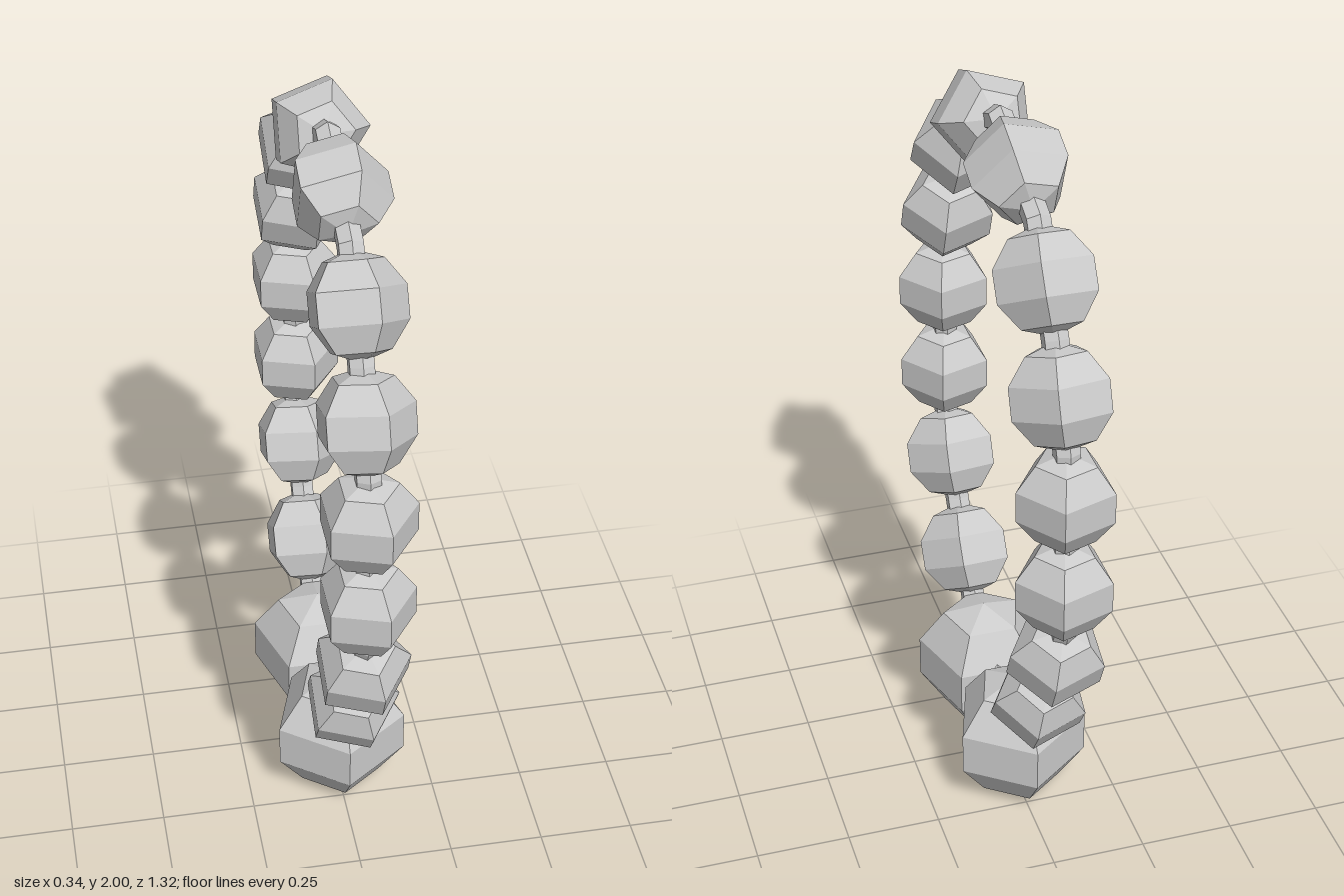
import * as THREE from 'three';

// Bends of one half of the strand as [z, y], from top to bottom
const HALF = [
  [0, 1.938], [0.297, 1.817], [0.443, 1.58], [0.542, 1.33], [0.542, 1.07],
  [0.542, 0.81], [0.43, 0.565], [0.27, 0.32], [0, 0.217],
];
const SMALL_R = 0.131, BIG_R = 0.19, CORD_R = 0.034;

const material = new THREE.MeshStandardMaterial({ color: 0xcccccc, flatShading: true });

function addMesh(parent, name, geometry) {
  const mesh = new THREE.Mesh(geometry, material);
  mesh.name = name;
  parent.add(mesh);
  return mesh;
}

// Five-sided faceted bead with one corner towards +x
function beadGeometry(radius) {
  return new THREE.SphereGeometry(radius, 5, 5).rotateY(Math.PI);
}

// Closed six-sided cord with mitred bends, lying in the yz plane
function cordGeometry(points) {
  const n = points.length, sides = 6;
  const positions = [], index = [];
  points.forEach((p, i) => {
    const before = p.clone().sub(points[(i + n - 1) % n]).normalize();
    const after = points[(i + 1) % n].clone().sub(p).normalize();
    const tangent = before.clone().add(after).normalize();
    const stretch = 1 / tangent.dot(after);
    for (let k = 0; k < sides; k++) {
      const a = (k / sides) * Math.PI * 2;
      const inPlane = Math.cos(a) * CORD_R * stretch;
      positions.push(Math.sin(a) * CORD_R, p.y - tangent.x * inPlane, p.x + tangent.y * inPlane);
      const i2 = (i + 1) % n, k2 = (k + 1) % sides;
      const A = i * sides + k, B = i * sides + k2, C = i2 * sides + k2, D = i2 * sides + k;
      index.push(A, B, C, A, C, D);
    }
  });
  const g = new THREE.BufferGeometry();
  g.setAttribute('position', new THREE.Float32BufferAttribute(positions, 3));
  // Wind the faces outwards: the loop runs down the +z side, up the -z side
  for (let i = 0; i < index.length; i += 3) [index[i + 1], index[i + 2]] = [index[i + 2], index[i + 1]];
  g.setIndex(index);
  const flat = g.toNonIndexed();
  flat.computeVertexNormals();
  // Check the first face against its outward direction and flip if needed
  const pos = flat.attributes.position, nor = flat.attributes.normal;
  const centre = points[0].clone().add(points[1]).multiplyScalar(0.5);
  const mid = new THREE.Vector3();
  for (let i = 0; i < 6; i++) mid.add(new THREE.Vector3().fromBufferAttribute(pos, i));
  mid.divideScalar(6).sub(new THREE.Vector3(0, centre.y, centre.x));
  if (mid.dot(new THREE.Vector3().fromBufferAttribute(nor, 0)) < 0) {
    for (let i = 0; i < index.length; i += 3) [index[i + 1], index[i + 2]] = [index[i + 2], index[i + 1]];
    g.setIndex(index);
  }
  g.computeVertexNormals();
  return g;
}

export function createModel() {
  const model = new THREE.Group();
  model.name = 'beadLoop';

  // Cord
  const mirrored = HALF.slice(1, -1).reverse().map(([z, y]) => [-z, y]);
  const loop = [...HALF, ...mirrored].map(([z, y]) => new THREE.Vector2(z, y));
  addMesh(model, 'cord', cordGeometry(loop));

  const small = beadGeometry(SMALL_R);
  const big = beadGeometry(BIG_R);
  for (const side of [1, -1]) {
    // Small beads, threaded on the middle of each straight run
    for (let i = 0; i < HALF.length - 2; i++) {
      const [z0, y0] = HALF[i], [z1, y1] = HALF[i + 1];
      const bead = addMesh(model, 'smallBead', small);
      bead.position.set(0, (y0 + y1) / 2, side * (z0 + z1) / 2);
      bead.rotation.x = Math.atan2(side * (z0 - z1), y0 - y1);
    }
    // Large end bead, one corner pointing outwards
    const end = addMesh(model, 'largeBead', big);
    end.position.set(0, BIG_R, side * 0.167);
    end.rotation.y = -side * Math.PI / 2;
  }
  return model;
}
